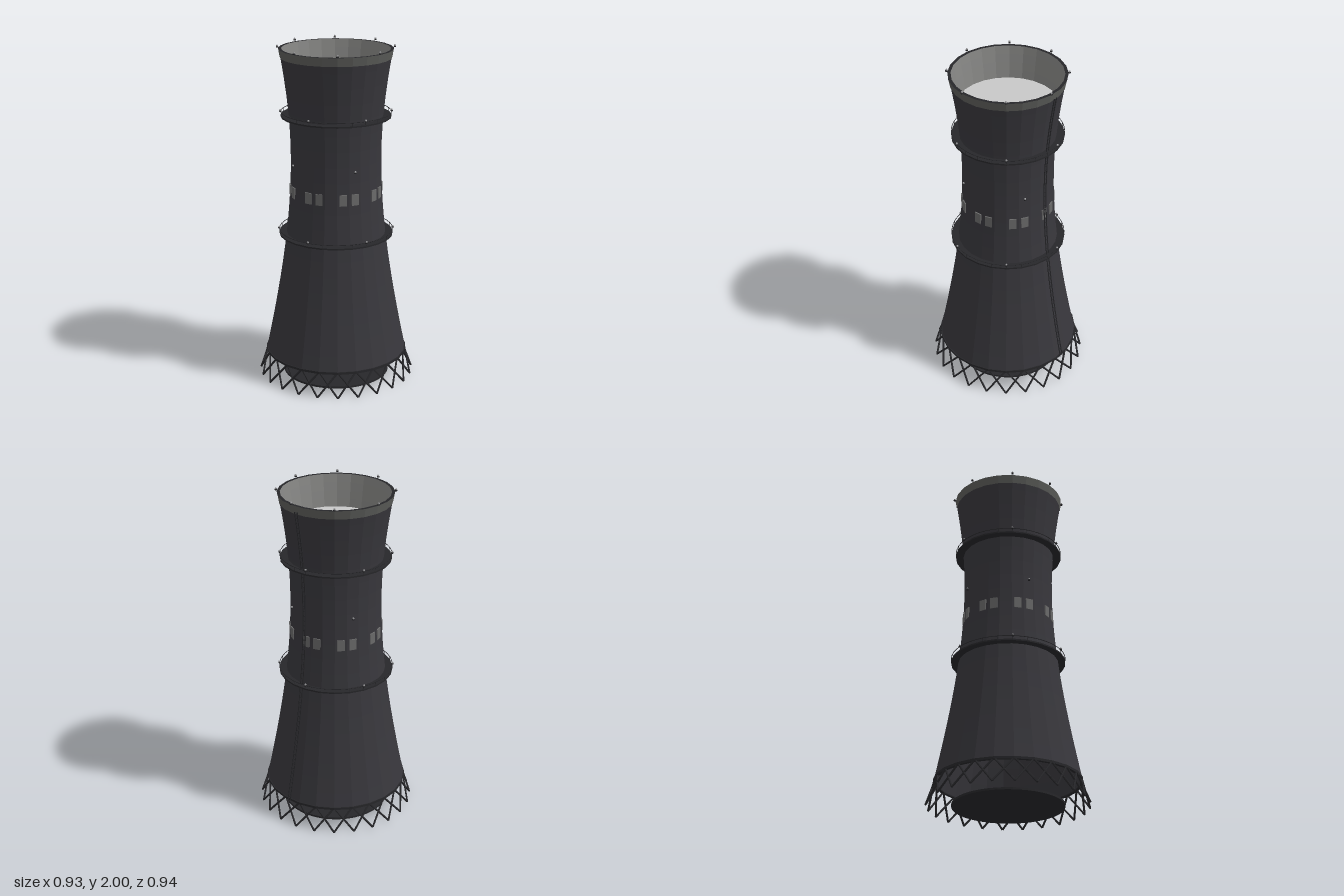
import * as THREE from 'three';

const mat = (name, color, extra = {}) => {
  const m = new THREE.MeshStandardMaterial({ color, flatShading: true, ...extra });
  m.name = name;
  return m;
};

const SIDES = 24;
const BASE = 0.145, TOP = 1.98, THROAT = 1.35, POOL = 1.79;

// Hyperbolic shell radius at a given height
const radius = (y) => {
  const b = y > THROAT ? 0.864 : 0.976;
  return 0.265 * Math.sqrt(1 + ((y - THROAT) / b) ** 2);
};
// Point on a circle, angle in degrees from the front towards +x
const polar = (deg, r, y) => {
  const a = THREE.MathUtils.degToRad(deg);
  return new THREE.Vector3(Math.sin(a) * r, y, Math.cos(a) * r);
};
// Wall profile between two heights, offset from the shell
const profile = (y0, y1, offset, n) => Array.from({ length: n + 1 }, (_, i) => {
  const y = y0 + ((y1 - y0) * i) / n;
  return new THREE.Vector2(radius(y) + offset, y);
});

export function createModel() {
  const concrete = mat('dark concrete', 0x38373c);
  const steel = mat('dark steel', 0x27272a);
  const rimGrey = mat('rim grey', 0x5c5d5a);
  const liner = mat('inner lining grey', 0x858583);
  const vapour = mat('pale vapour', 0xc8c8c8, { side: THREE.DoubleSide });
  const glass = mat('window grey', 0x6a6a6a, { side: THREE.DoubleSide });
  const lampGrey = mat('lamp grey', 0x98989a);

  const model = new THREE.Group();
  model.name = 'coolingTower';
  const add = (name, geo, material, parent = model) => {
    const mesh = new THREE.Mesh(geo, material);
    mesh.name = name;
    parent.add(mesh);
    return mesh;
  };
  const group = (name) => {
    const g = new THREE.Group();
    g.name = name;
    model.add(g);
    return g;
  };
  const lathe = (name, pts, material, parent) =>
    add(name, new THREE.LatheGeometry(pts, SIDES), material, parent);
  const V = (x, y) => new THREE.Vector2(x, y);
  // Straight round bar between two points
  const bar = (name, a, b, r, material, parent, sides = 6) => {
    const d = b.clone().sub(a);
    const m = add(name, new THREE.CylinderGeometry(r, r, d.length(), sides), material, parent);
    m.position.copy(a).addScaledVector(d, 0.5);
    m.quaternion.setFromUnitVectors(new THREE.Vector3(0, 1, 0), d.normalize());
  };
  // Solid ring with a rectangular section
  const ring = (name, rIn, rOut, y0, y1, material, parent) =>
    lathe(name, [V(rIn, y0), V(rOut, y0), V(rOut, y1), V(rIn, y1), V(rIn, y0)], material, parent);

  // Shell, lining and rim
  lathe('outerShell', profile(BASE, TOP, 0, 20), concrete);
  lathe('lowerInnerWall', profile(POOL, BASE, -0.014, 16), concrete);
  lathe('upperInnerWall', profile(TOP, POOL, -0.014, 4), liner);
  lathe('rimBand', profile(1.93, TOP, 0.003, 1), rimGrey);
  lathe('rimTop', [V(radius(TOP) + 0.004, TOP), V(radius(TOP) - 0.014, TOP)], steel);
  ring('baseRing', radius(BASE) - 0.014, radius(BASE) + 0.004, 0.138, 0.152, steel);

  // Vapour surface inside the mouth
  const surface = add('vapourSurface', new THREE.CircleGeometry(radius(POOL) - 0.013, SIDES), vapour);
  surface.rotation.x = -Math.PI / 2;
  surface.position.y = POOL;

  // Ground basin
  const basin = add('basin', new THREE.CylinderGeometry(0.32, 0.32, 0.012, 48), steel);
  basin.position.y = 0.006;

  // Crossed support legs
  const legs = group('supportLegs');
  for (let i = 0; i < 24; i++) {
    for (const side of [-1, 1]) {
      bar('supportLeg', polar(i * 15, 0.462, 0.004),
        polar((i + side) * 15, radius(BASE) - 0.005, 0.147), 0.006, steel, legs);
    }
  }

  // Warning lamps with small bases
  const lamps = group('warningLamps');
  const lampRing = (count, start, r, y) => {
    for (let i = 0; i < count; i++) {
      const deg = start + (i * 360) / count;
      add('lamp', new THREE.SphereGeometry(0.006, 8, 6), lampGrey, lamps)
        .position.copy(polar(deg, r, y));
      add('lampBase', new THREE.CylinderGeometry(0.007, 0.007, 0.006, 8), steel, lamps)
        .position.copy(polar(deg, r, y - 0.007));
    }
  };
  lampRing(8, 0, 0.336, 1.994);
  lampRing(4, 22.5, 0.272, 1.315);

  // Walkways with a thin handrail
  for (const [y, r] of [[0.88, 0.338], [1.59, 0.322]]) {
    const walkway = group('walkway');
    ring('walkwayFloor', radius(y) - 0.008, r, y - 0.005, y + 0.004, steel, walkway);
    const rail = add('handrail', new THREE.TorusGeometry(r - 0.002, 0.002, 6, 48), steel, walkway);
    rail.rotation.x = Math.PI / 2;
    rail.position.y = y + 0.024;
    for (let i = 0; i < SIDES; i++) {
      bar('railPost', polar(i * 15, r - 0.003, y), polar(i * 15, r - 0.003, y + 0.024), 0.001, steel, walkway, 4);
    }
    lampRing(6, 30, r, y + 0.03);
  }

  // Paired windows around the waist
  const windows = group('windows');
  for (let i = 0; i < 8; i++) {
    for (const offset of [7.5, 22.5]) {
      const deg = i * 45 + offset;
      const pane = add('window', new THREE.BoxGeometry(0.043, 0.066, 0.008), glass, windows);
      pane.position.copy(polar(deg, radius(1.15) - 0.001, 1.15));
      pane.rotation.y = THREE.MathUtils.degToRad(deg);
    }
  }

  // Ladder following the shell at the back
  const ladder = group('ladder');
  const LADDER = 141;
  const across = polar(LADDER + 90, 0.009, 0);
  const spot = (y, side) => polar(LADDER, radius(y) + 0.012, y).addScaledVector(across, side);
  for (const side of [-1, 1]) {
    const path = Array.from({ length: 13 }, (_, i) => spot(0.15 + i * 0.15, side));
    add('ladderRail', new THREE.TubeGeometry(new THREE.CatmullRomCurve3(path), 24, 0.0035, 6), steel, ladder);
  }
  for (let y = 0.17; y < 1.94; y += 0.03) {
    bar('ladderRung', spot(y, -1), spot(y, 1), 0.0025, steel, ladder, 4);
  }

  return model;
}
